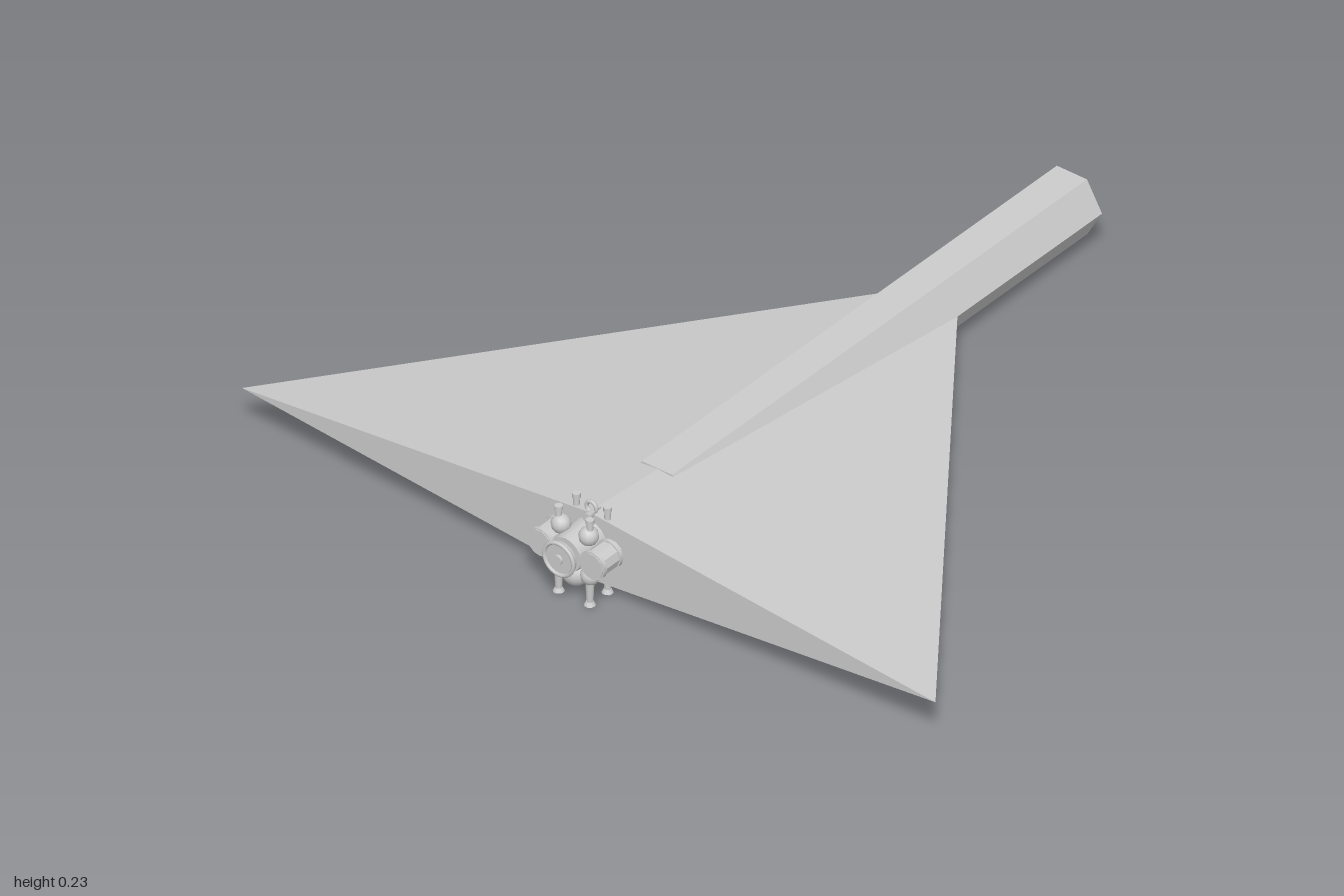
import * as THREE from 'three';

const MID = 0.115; // height of the long axis

export function createModel() {
  const group = new THREE.Group();
  const flat = new THREE.MeshStandardMaterial({ color: 0xcccccc, flatShading: true });
  const smooth = new THREE.MeshStandardMaterial({ color: 0xcccccc });

  const add = (name, geometry, x, y, z, material = smooth, parent = group) => {
    const mesh = new THREE.Mesh(geometry, material);
    mesh.name = name;
    mesh.position.set(x, y, z);
    parent.add(mesh);
    return mesh;
  };
  // Cylinder lying along x
  const along = (rFront, rBack, length, sides = 16) =>
    new THREE.CylinderGeometry(rFront, rBack, length, sides).rotateZ(-Math.PI / 2);

  // Delta wing: flattened four-sided pyramid with its point forward
  add('wing', along(0, 1, 1.34, 4).scale(1, 0.091, 1), -0.15, MID, 0, flat);

  // Hexagonal fuselage that emerges from the wing
  add('fuselage', along(0.087, 0.087, 1.5, 6), 0.18, MID, -0.003, flat);

  // Engine cluster at the tail
  const engine = new THREE.Group();
  engine.name = 'engine';
  group.add(engine);
  const part = (name, geometry, x, y, z, material = smooth) => add(name, geometry, x, y, z, material, engine);

  part('engineCore', along(0.052, 0.045, 0.09), -0.86, 0.135, 0);
  part('engineShaft', along(0.012, 0.012, 0.05), -0.91, 0.135, 0);
  part('rearPlate', along(0.042, 0.045, 0.012, 20), -0.922, 0.135, 0);
  part('rearRim', new THREE.TorusGeometry(0.042, 0.005, 8, 24).rotateY(Math.PI / 2), -0.928, 0.135, 0);
  part('topSpike', along(0, 0.012, 0.06, 8), -0.81, 0.205, 0.008);
  part('topLoop', new THREE.TorusGeometry(0.014, 0.005, 8, 16).rotateY(Math.PI / 2), -0.81, 0.215, 0);
  part('lowerTank', new THREE.SphereGeometry(0.035, 14, 10), -0.865, 0.07, 0);

  for (const side of [-1, 1]) {
    // Side pod with bands
    part('sidePod', along(0.034, 0.034, 0.075, 10), -0.868, 0.135, side * 0.075, flat);
    for (const x of [-0.898, -0.84]) {
      part('podBand', along(0.037, 0.037, 0.01, 12), x, 0.135, side * 0.075);
    }
    part('upperCap', new THREE.SphereGeometry(0.024, 12, 8), -0.87, 0.185, side * 0.04);
    part('lowerCap', new THREE.SphereGeometry(0.024, 12, 8), -0.87, 0.08, side * 0.045);

    // Short legs below and stubs on top, each with a wider end
    for (const x of [-0.872, -0.808]) {
      part('leg', new THREE.CylinderGeometry(0.011, 0.008, 0.07, 10), x, 0.041, side * 0.045);
      part('foot', new THREE.CylinderGeometry(0.009, 0.014, 0.01, 10), x, 0.005, side * 0.045);
      part('stub', new THREE.CylinderGeometry(0.007, 0.009, 0.055, 10), x, 0.2, side * 0.045);
      part('stubCap', new THREE.CylinderGeometry(0.01, 0.01, 0.012, 10), x, 0.227, side * 0.045);
    }
  }
  return group;
}
